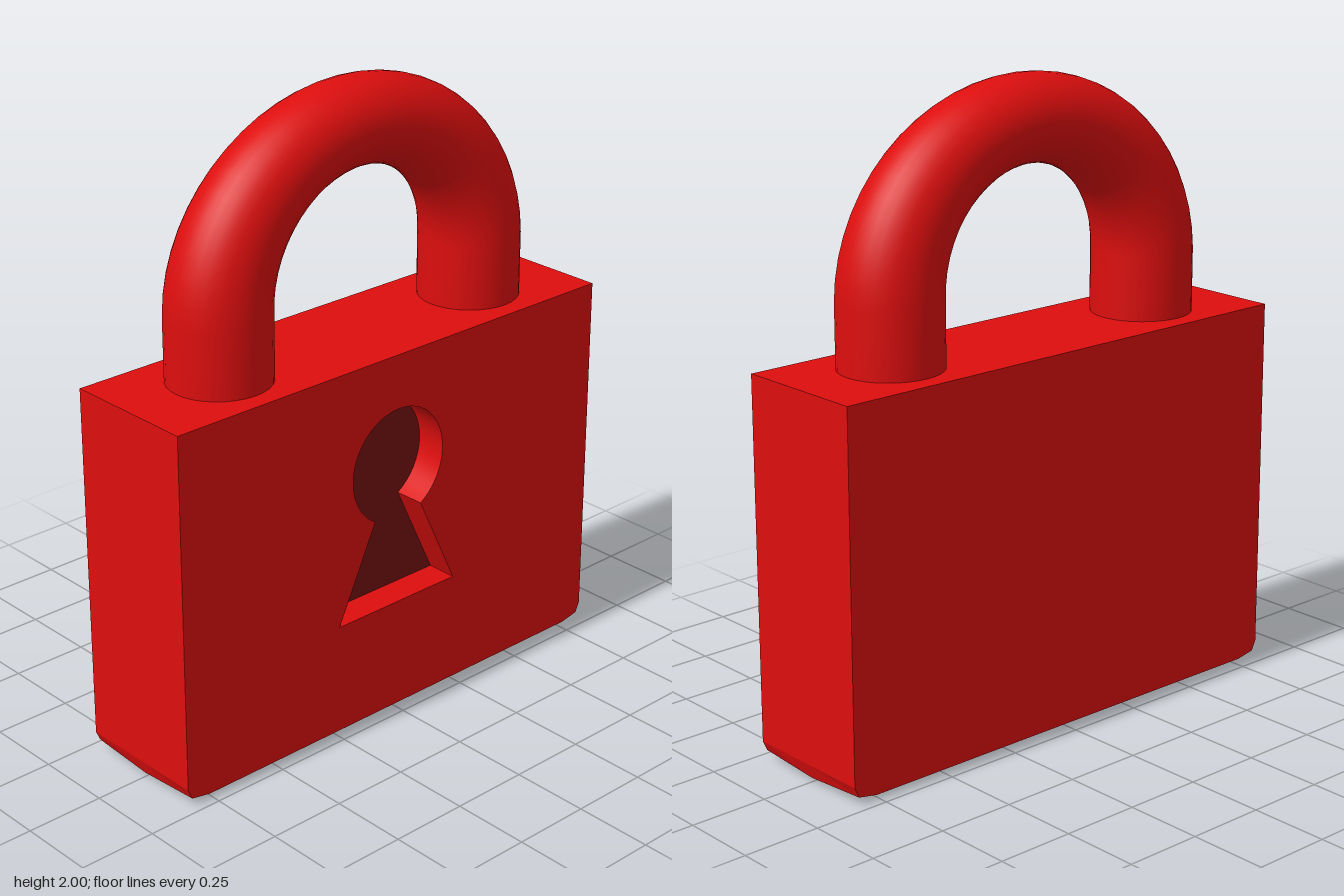
import * as THREE from 'three';
import { toCreasedNormals } from 'three/addons/utils/BufferGeometryUtils.js';

const HALF = 0.22;   // half thickness of the body
const DEPTH = 0.1;   // depth of the keyhole

// Skin closed rings of equal point count, ring after ring
function loft(rings) {
  const n = rings[0].length;
  const index = [];
  for (let i = 0; i < rings.length - 1; i++) {
    for (let j = 0; j < n; j++) {
      const k = (j + 1) % n;
      const a = i * n + j, b = i * n + k, c = (i + 1) * n + k, d = (i + 1) * n + j;
      index.push(a, b, c, a, c, d);
    }
  }
  const geo = new THREE.BufferGeometry();
  geo.setAttribute('position', new THREE.Float32BufferAttribute(rings.flat(2), 3));
  geo.setIndex(index);
  geo.computeVertexNormals();
  return geo;
}

// Side profile point (u, v) placed in the plane at x, with u running to -z
const ringAt = (points, x) => points.map((p) => [x, p.y, -p.x]);

// Body side profile; lift raises the underside, which is ridged along its middle
function bodyOutline(lift) {
  const right = [[0.76, lift], [0.825, 0.012 + lift], [0.84, 0.06], [0.84, 1.2]];
  const left = right.map(([u, v]) => [-u, v]).reverse();
  return [...right, ...left].map(([u, v]) => new THREE.Vector2(u, v));
}

// Round top with a flared skirt
function keyholeOutline() {
  const pts = [new THREE.Vector2(-0.24, 0.375), new THREE.Vector2(0.24, 0.375)];
  const start = -1.035, end = Math.PI + 1.035, steps = 40;
  for (let i = 0; i <= steps; i++) {
    const a = start + (end - start) * i / steps;
    pts.push(new THREE.Vector2(0.185 * Math.cos(a), 0.84 + 0.185 * Math.sin(a)));
  }
  return pts;
}

// Bow: straight legs and an elliptical arch that thins towards the top
function shackleGeometry() {
  const steps = 28, sides = 32;
  const ring = (t, dy) => {
    const c = Math.cos(t), s = Math.sin(t);
    const rx = 0.16 - 0.025 * s;
    return Array.from({ length: sides }, (_, j) => {
      const a = j / sides * Math.PI * 2;
      return [
        rx * Math.sin(a),
        1.4 + dy + s * (0.465 + 0.135 * Math.cos(a)),
        c * (0.505 + 0.16 * Math.cos(a)),
      ];
    });
  };
  const rings = [ring(0, -0.2)];
  for (let i = 0; i <= steps; i++) rings.push(ring(Math.PI * i / steps, 0));
  rings.push(ring(Math.PI, -0.2));
  return loft(rings);
}

export function createModel() {
  const red = new THREE.MeshStandardMaterial({ color: 0xdd0e0e });
  red.name = 'red';
  const darkRed = new THREE.MeshStandardMaterial({ color: 0x741010 });
  darkRed.name = 'dark red';

  const model = new THREE.Group();
  model.name = 'padlock';
  const add = (name, geo, material, parent = model) => {
    const mesh = new THREE.Mesh(geo, material);
    mesh.name = name;
    parent.add(mesh);
    return mesh;
  };

  const body = new THREE.Group();
  body.name = 'body';
  model.add(body);

  // Rim of the body: ends, top and ridged underside
  const edge = bodyOutline(0.015), middle = bodyOutline(0);
  const rim = loft([ringAt(edge, -HALF), ringAt(middle, 0), ringAt(edge, HALF)]);
  add('bodyRim', toCreasedNormals(rim, 0.05), red, body);

  // Broad faces, one of them cut by the keyhole
  const keyhole = keyholeOutline();
  const cutFace = new THREE.Shape(edge);
  cutFace.holes.push(new THREE.Path(keyhole));
  add('keyholeFace', new THREE.ShapeGeometry(cutFace).rotateY(Math.PI / 2).translate(HALF, 0, 0), red, body);
  add('plainFace', new THREE.ShapeGeometry(new THREE.Shape(edge)).rotateY(-Math.PI / 2).translate(-HALF, 0, 0), red, body);

  // Keyhole recess: walls facing inward and a dark floor
  const walls = loft([ringAt(keyhole, HALF), ringAt(keyhole, HALF - DEPTH)]);
  add('keyholeWalls', toCreasedNormals(walls, 0.5), red, body);
  add('keyholeFloor', new THREE.ShapeGeometry(new THREE.Shape(keyhole)).rotateY(Math.PI / 2).translate(HALF - DEPTH, 0, 0), darkRed, body);

  add('shackle', shackleGeometry(), red);
  return model;
}
